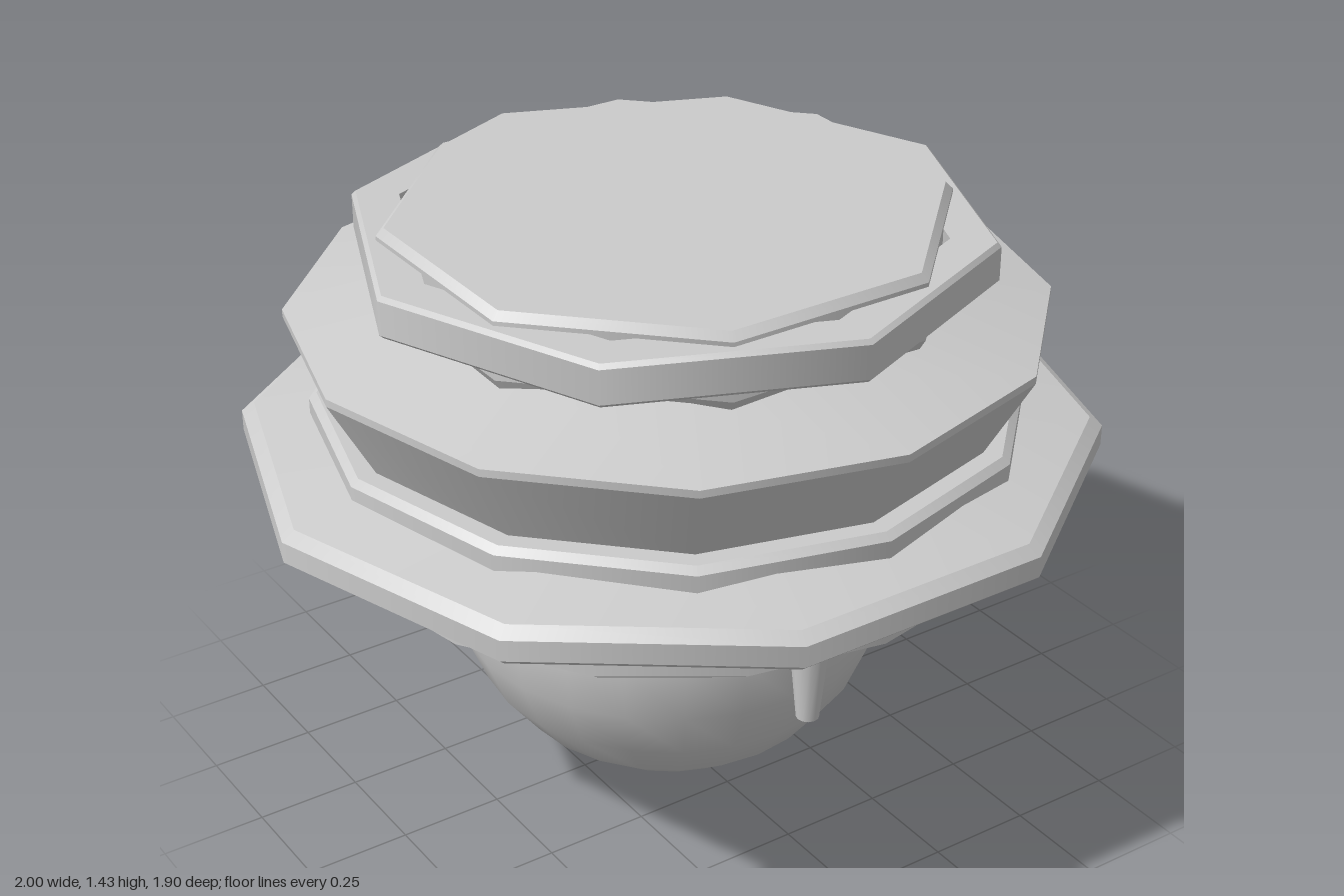
import * as THREE from 'three';
import { mergeGeometries } from 'three/addons/utils/BufferGeometryUtils.js';

// Turned solid with few sides: smooth around, crisp between profile segments.
// Profile runs counter-clockwise (bottom, outside, top) as [radius, y].
function turned(profile, sides, phase) {
  const bands = [];
  for (let i = 0; i < profile.length - 1; i++) {
    const pair = [profile[i], profile[i + 1]].map(([r, y]) => new THREE.Vector2(r, y));
    bands.push(new THREE.LatheGeometry(pair, sides, phase));
  }
  return mergeGeometries(bands);
}

export function createModel() {
  const group = new THREE.Group();
  const material = new THREE.MeshStandardMaterial({ color: 0xcccccc });

  const add = (name, geometry, x = 0, y = 0, z = 0) => {
    const mesh = new THREE.Mesh(geometry, material);
    mesh.name = name;
    mesh.position.set(x, y, z);
    group.add(mesh);
  };

  const EDGE = Math.PI / 2; // a corner on the x axis

  // Round bulb underneath
  add('bulb', new THREE.SphereGeometry(0.53, 24, 12), 0, 0.53, 0);

  // Three tapered prongs around the bulb
  for (let i = 0; i < 3; i++) {
    const a = (i * 2 * Math.PI) / 3;
    add('prong', new THREE.CylinderGeometry(0.052, 0.027, 0.26, 12),
      0.56 * Math.sin(a), 0.505, 0.56 * Math.cos(a));
  }

  // Sixteen-sided lower body with a sloped underside
  add('lowerBody', turned([
    [0, 0.61], [0.6, 0.61], [0.79, 0.69], [0.826, 0.716],
    [0.826, 0.803], [0.8, 0.825], [0, 0.825],
  ], 16, EDGE), 0, 0, 0);

  // Wide ten-sided flange
  add('flange', turned([
    [0, 0.823], [0.98, 0.823], [1, 0.84], [1, 0.89],
    [0.97, 0.912], [0.6, 0.982], [0, 0.982],
  ], 10, EDGE));

  // Thin collar above the flange
  add('collar', turned([
    [0, 0.9], [0.828, 0.9], [0.828, 0.972], [0.81, 0.987], [0, 0.987],
  ], 12, EDGE));

  // Flared twelve-sided upper body
  add('flaredBody', turned([
    [0, 0.98], [0.762, 0.98], [0.873, 1.182], [0.873, 1.2],
    [0.6, 1.265], [0, 1.265],
  ], 12, EDGE));

  // Octagonal cap plug
  add('cap', turned([
    [0, 1.24], [0.635, 1.24], [0.655, 1.275], [0.655, 1.412],
    [0.637, 1.43], [0, 1.43],
  ], 8, Math.PI / 8));

  // Open octagonal ring, turned half a side against the cap
  add('capRing', turned([
    [0.625, 1.303], [0.728, 1.303], [0.738, 1.312], [0.738, 1.392],
    [0.728, 1.402], [0.625, 1.402], [0.625, 1.303],
  ], 8, EDGE));

  return group;
}
